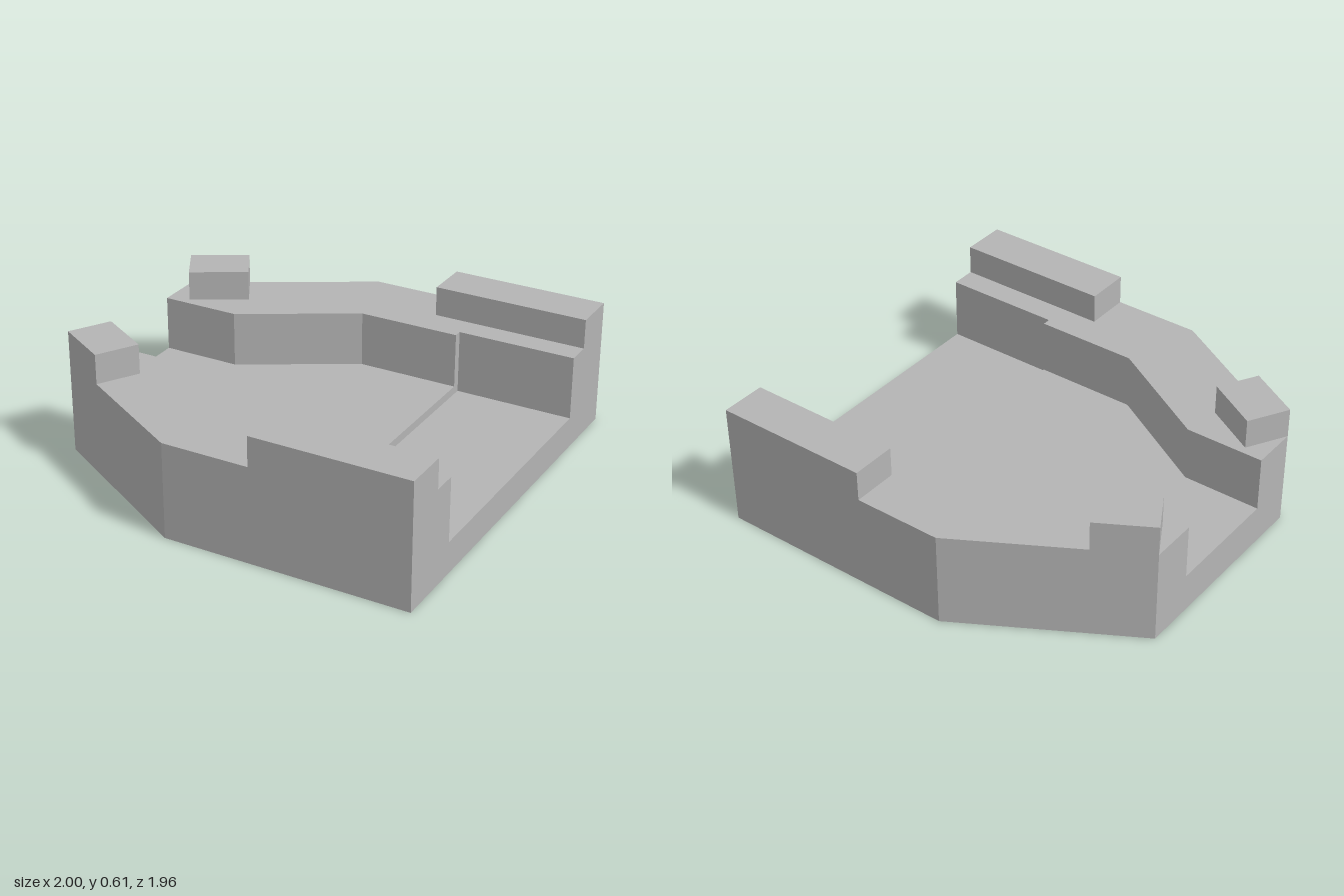
import * as THREE from 'three';

// Heights of the stacked levels
const RECESS = 0.155, FLOOR = 0.195, WALL = 0.465, TOP = 0.61;

export function createModel() {
  const model = new THREE.Group();
  model.name = 'battlementPlatform';
  const stone = new THREE.MeshStandardMaterial({ color: 0xb4b4b4 });
  stone.name = 'stoneGrey';

  // Extrude a plan outline of [x, z] points from y0 up to y1
  function prism(name, plan, y0, y1) {
    const shape = new THREE.Shape(plan.map(([x, z]) => new THREE.Vector2(x, z)));
    const geo = new THREE.ExtrudeGeometry(shape, { depth: y1 - y0, bevelEnabled: false });
    geo.rotateX(Math.PI / 2).translate(0, y1, 0);
    const mesh = new THREE.Mesh(geo, stone);
    mesh.name = name;
    model.add(mesh);
  }
  const flip = (plan) => plan.map(([x, z]) => [x, -z]);
  // Close a half outline across the centre line
  const mirrored = (half) => [...half, ...flip(half).reverse()];

  // Six-sided base and the raised floor between the walls
  prism('base', mirrored([[-1, 0.515], [-0.19, 0.98], [1, 0.98]]), 0, RECESS);
  prism('raisedFloor', mirrored([[-1, 0.29], [-0.615, 0.29], [-0.08, 0.6], [0.42, 0.6]]), RECESS, FLOOR);

  const wall = [
    [-1, 0.515], [-1, 0.29], [-0.615, 0.29], [-0.08, 0.6], [0.42, 0.6],
    [0.42, 0.64], [1, 0.64], [1, 0.98], [-0.19, 0.98],
  ];
  const parapet = [[0.235, 0.76], [1, 0.76], [1, 0.98], [0.235, 0.98]];
  const cornerBlock = [[-1, 0.515], [-0.893, 0.328], [-0.642, 0.473], [-0.749, 0.659]];

  // Walls, long parapets and angled corner blocks on both sides
  for (const [side, place] of [['left', flip], ['right', (p) => p]]) {
    prism(side + 'Wall', place(wall), RECESS, WALL);
    prism(side + 'Parapet', place(parapet), WALL, TOP);
    prism(side + 'CornerBlock', place(cornerBlock), WALL, TOP);
  }
  return model;
}
